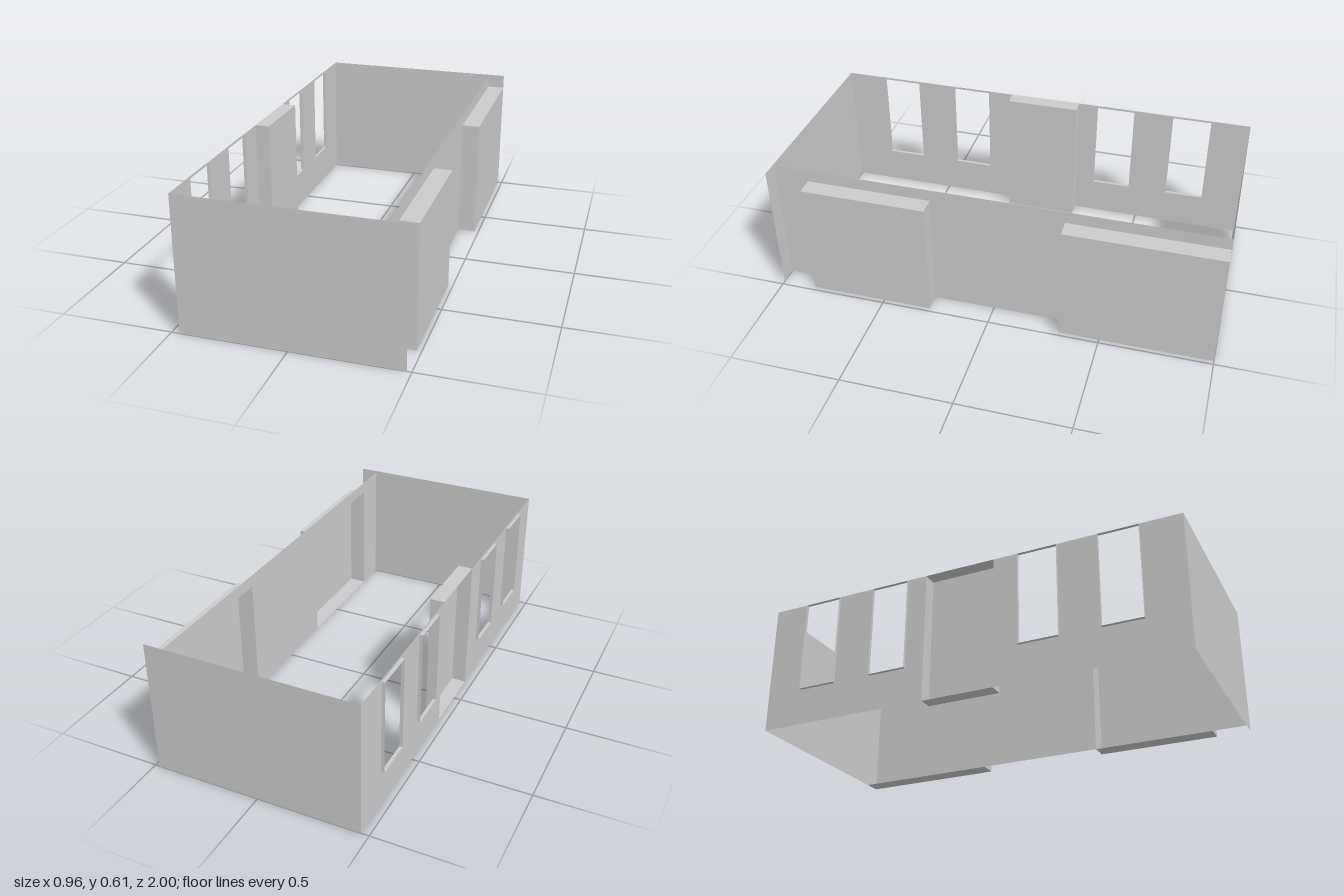
import * as THREE from 'three';
import { mergeGeometries } from 'three/addons/utils/BufferGeometryUtils.js';

const material = new THREE.MeshStandardMaterial({ color: 0xcccccc, side: THREE.DoubleSide, flatShading: true });
const H = 0.61, LEFT = 0.4, RIGHT = -0.465, OUTER = 0.48;

function add(parent, name, geometry) {
  const mesh = new THREE.Mesh(geometry, material);
  mesh.name = name;
  parent.add(mesh);
  return mesh;
}

function rect(Type, u0, u1, v0, v1) {
  const p = new Type();
  p.moveTo(u0, v0).lineTo(u1, v0).lineTo(u1, v1).lineTo(u0, v1).closePath();
  return p;
}

// Flat wall in the plane x, running along z, with openings [z0, z1, y0, y1]
function sideWall(x, z0, z1, height, openings) {
  const shape = rect(THREE.Shape, z0, z1, 0, height);
  for (const o of openings) shape.holes.push(rect(THREE.Path, ...o));
  return new THREE.ShapeGeometry(shape).rotateY(-Math.PI / 2).translate(x, 0, 0);
}

// Thin-walled box made only of the listed faces
function openBox(x0, x1, y0, y1, z0, z1, faces) {
  const w = x1 - x0, h = y1 - y0, d = z1 - z0;
  const cx = (x0 + x1) / 2, cy = (y0 + y1) / 2, cz = (z0 + z1) / 2;
  const make = {
    top: () => new THREE.PlaneGeometry(w, d).rotateX(-Math.PI / 2).translate(cx, y1, cz),
    bottom: () => new THREE.PlaneGeometry(w, d).rotateX(Math.PI / 2).translate(cx, y0, cz),
    front: () => new THREE.PlaneGeometry(w, h).translate(cx, cy, z1),
    back: () => new THREE.PlaneGeometry(w, h).rotateY(Math.PI).translate(cx, cy, z0),
    left: () => new THREE.PlaneGeometry(d, h).rotateY(Math.PI / 2).translate(x1, cy, cz),
  };
  return mergeGeometries(faces.map((f) => make[f]()));
}

export function createModel() {
  const room = new THREE.Group();
  room.name = 'room';

  // End walls
  for (const [name, z] of [['frontWall', 1], ['backWall', -1]]) {
    add(room, name, new THREE.ShapeGeometry(rect(THREE.Shape, RIGHT, OUTER, 0, H)).translate(0, 0, z));
  }

  // Window wall in two halves, either side of the pier
  const pier = [-0.185, 0.15];
  const sill = 0.17, head = 0.6;
  const windows = [[-0.82, -0.64], [-0.455, -0.275], [0.27, 0.45], [0.635, 0.815]];
  const openings = windows.map(([a, b]) => [a, b, sill, head]);
  add(room, 'windowWallBack', sideWall(RIGHT, -1, pier[0], H, openings.slice(0, 2)));
  add(room, 'windowWallFront', sideWall(RIGHT, pier[1], 1, H, openings.slice(2)));

  // Window reveals, projecting outward
  for (const [a, b] of windows) {
    add(room, 'windowReveal', openBox(-0.48, RIGHT, sill, head, a, b, ['top', 'bottom', 'front', 'back']));
  }

  // Pier stepping into the room, hollow on the outside
  add(room, 'pier', openBox(RIGHT, -0.4, 0, H, ...pier, ['top', 'bottom', 'front', 'back', 'left']));

  // Alcove wall: the outline steps around the two openings, which reach the floor
  const alcoveTop = 0.545, wallTop = 0.6;
  const alcoves = [[-1, -0.315], [0.28, 0.845]];
  const outline = new THREE.Shape();
  outline.moveTo(-1, wallTop).lineTo(-1, alcoveTop).lineTo(-0.315, alcoveTop).lineTo(-0.315, 0)
    .lineTo(0.28, 0).lineTo(0.28, alcoveTop).lineTo(0.845, alcoveTop).lineTo(0.845, 0)
    .lineTo(1, 0).lineTo(1, wallTop).closePath();
  add(room, 'alcoveWall', new THREE.ShapeGeometry(outline).rotateY(-Math.PI / 2).translate(LEFT, 0, 0));

  // Alcoves bulging outward, open to the room (the rear one ends at the back wall)
  alcoves.forEach(([a, b], i) => {
    const faces = ['top', 'bottom', 'front', 'left'];
    if (i === 1) faces.push('back');
    add(room, 'alcove', openBox(LEFT, OUTER, 0, alcoveTop, a, b, faces));
  });

  return room;
}
